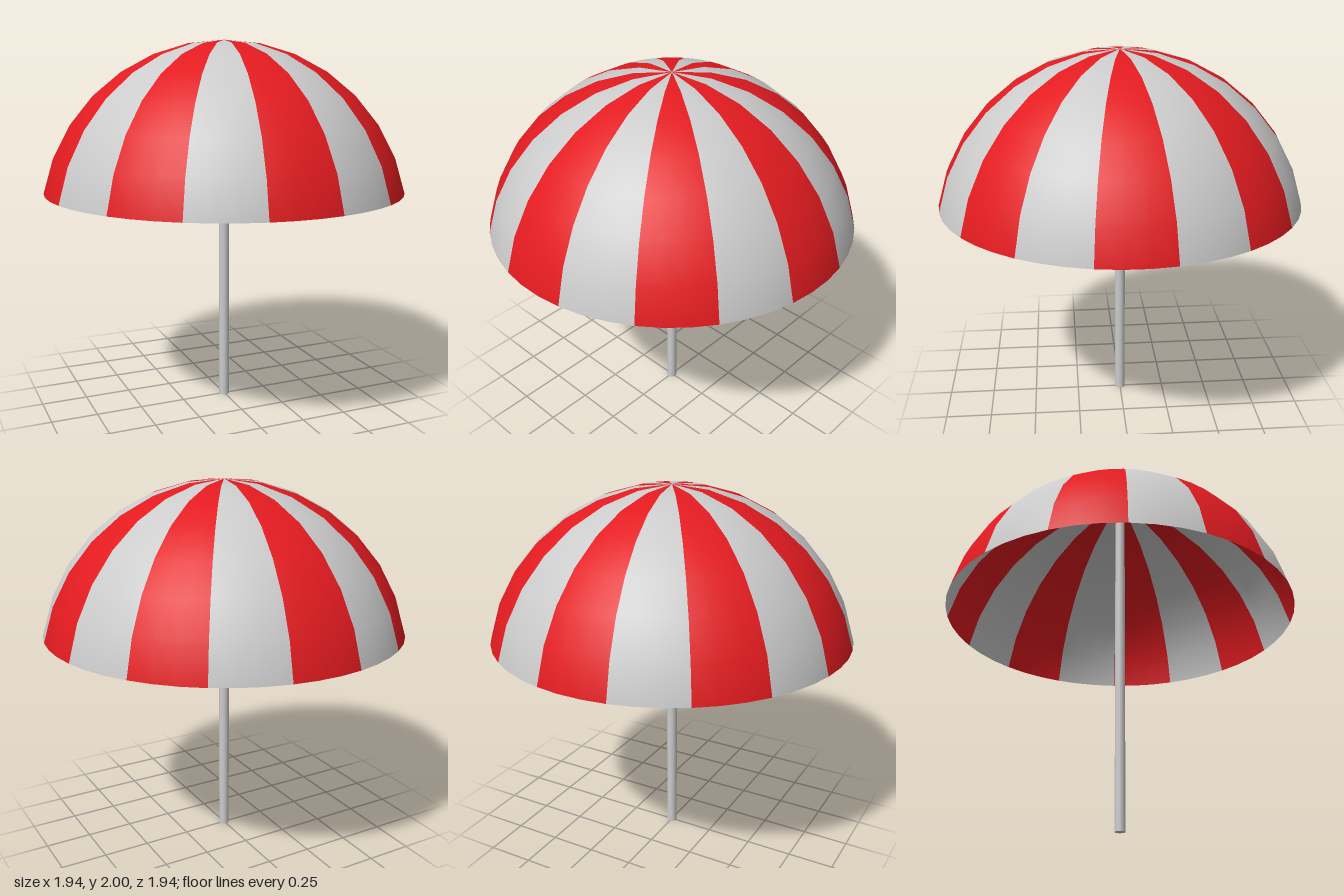
import * as THREE from 'three';

export function createModel() {
  const group = new THREE.Group();
  const grey = new THREE.MeshStandardMaterial({ color: 0xcccccc });
  const greyCloth = new THREE.MeshStandardMaterial({ color: 0xcccccc, side: THREE.DoubleSide });
  const redCloth = new THREE.MeshStandardMaterial({ color: 0xe31b20, side: THREE.DoubleSide });

  // Canopy: sixteen alternating gores of a spherical cap
  const radius = 0.991;
  const gores = 16;
  const goreAngle = (Math.PI * 2) / gores;
  const capAngle = (7 * Math.PI) / 16;
  const canopy = new THREE.Group();
  canopy.name = 'canopy';
  canopy.position.y = 2 - radius;
  for (let i = 0; i < gores; i++) {
    const start = (i - 0.5) * goreAngle;
    const geometry = new THREE.SphereGeometry(radius, 2, 7, start, goreAngle, 0, capAngle);
    const gore = new THREE.Mesh(geometry, i % 2 === 0 ? redCloth : greyCloth);
    gore.name = i % 2 === 0 ? 'redGore' : 'greyGore';
    canopy.add(gore);
  }
  group.add(canopy);

  // Pole: from the ground to just under the crown
  const poleHeight = 1.98;
  const pole = new THREE.Mesh(new THREE.CylinderGeometry(0.028, 0.028, poleHeight, 16), grey);
  pole.name = 'pole';
  pole.position.y = poleHeight / 2;
  group.add(pole);

  return group;
}
